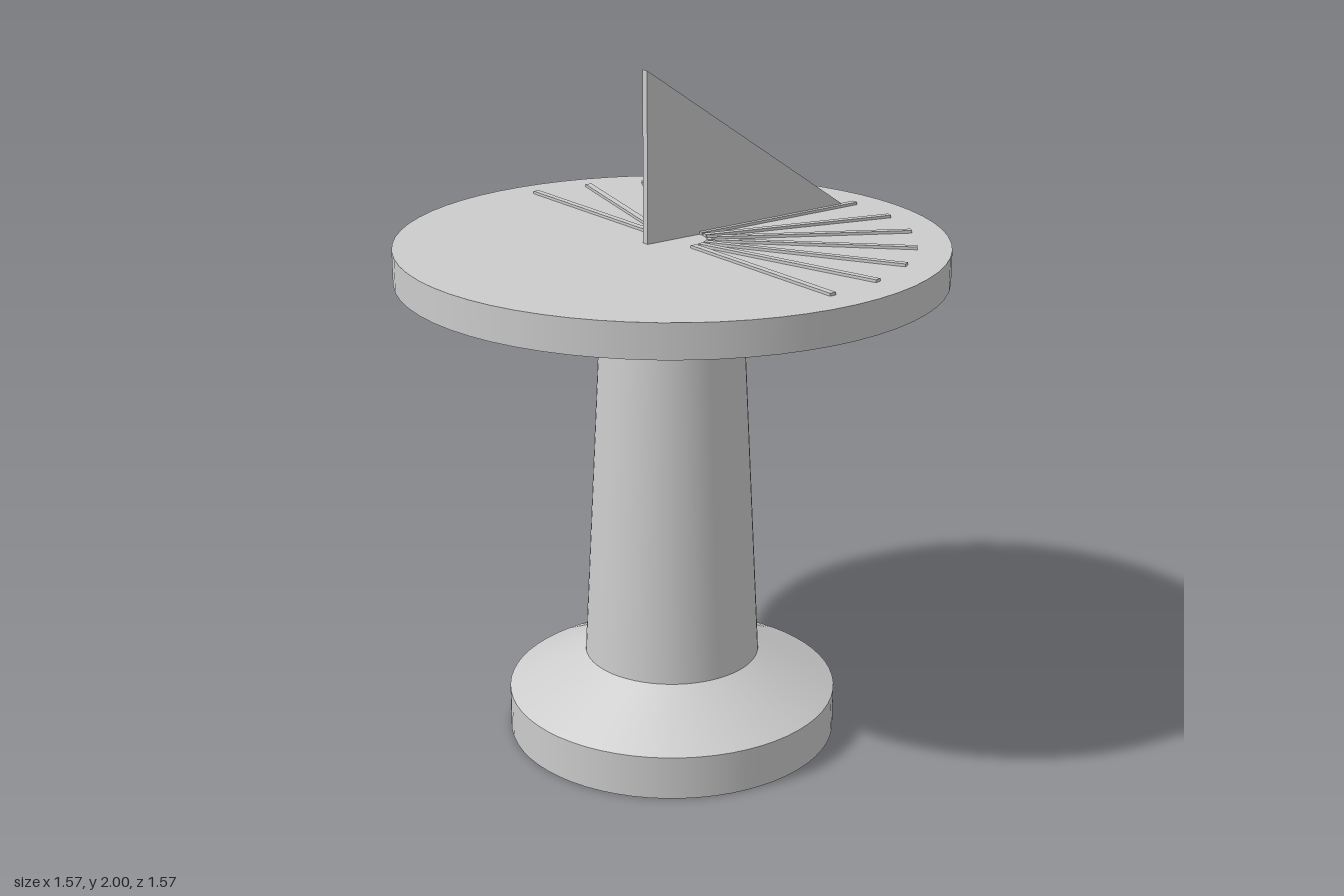
import * as THREE from 'three';

const SEGMENTS = 64;
const material = new THREE.MeshStandardMaterial({ color: 0xcccccc });

function addMesh(parent, name, geometry) {
  const mesh = new THREE.Mesh(geometry, material);
  mesh.name = name;
  parent.add(mesh);
  return mesh;
}

// Straight-sided round section; caps are left out where sections join
function addRound(parent, name, rBottom, rTop, y0, y1, open = false) {
  const geometry = new THREE.CylinderGeometry(rTop, rBottom, y1 - y0, SEGMENTS, 1, open);
  geometry.translate(0, (y0 + y1) / 2, 0);
  return addMesh(parent, name, geometry);
}

export function createModel() {
  const sundial = new THREE.Group();
  sundial.name = 'sundial';

  // Pedestal: plinth, sloped shoulder, tapered column and flared capital
  const pedestal = new THREE.Group();
  pedestal.name = 'pedestal';
  sundial.add(pedestal);
  addRound(pedestal, 'plinth', 0.49, 0.49, 0, 0.13);
  addRound(pedestal, 'plinthShoulder', 0.49, 0.26, 0.13, 0.245, true);
  addRound(pedestal, 'column', 0.26, 0.21, 0.245, 1.23, true);
  addRound(pedestal, 'capital', 0.21, 0.405, 1.23, 1.395, true);
  // Very shallow cone that closes the capital and meets the dial
  addRound(pedestal, 'capitalTop', 0.405, 0, 1.395, 1.413, true);

  // Dial plate
  const dialTop = 1.51;
  addRound(sundial, 'dialPlate', 0.787, 0.787, 1.412, dialTop);

  // Hour lines: thirteen thin bars fanned over the +x half of the dial
  const hourLines = new THREE.Group();
  hourLines.name = 'hourLines';
  sundial.add(hourLines);
  const inner = 0.1, outer = 0.69;
  const bar = new THREE.BoxGeometry(outer - inner, 0.012, 0.02);
  bar.translate((inner + outer) / 2, dialTop + 0.002, 0);
  for (let i = 0; i <= 12; i++) {
    const line = addMesh(hourLines, `hourLine${i + 1}`, bar);
    line.rotation.y = -Math.PI / 2 + (i * Math.PI) / 12;
  }

  // Gnomon: upright triangular blade
  const blade = new THREE.Shape([
    new THREE.Vector2(-0.083, dialTop),
    new THREE.Vector2(0.652, dialTop),
    new THREE.Vector2(-0.083, 2),
  ]);
  const gnomon = addMesh(sundial, 'gnomon',
    new THREE.ExtrudeGeometry(blade, { depth: 0.021, bevelEnabled: false }));
  gnomon.position.z = -0.024;

  return sundial;
}
